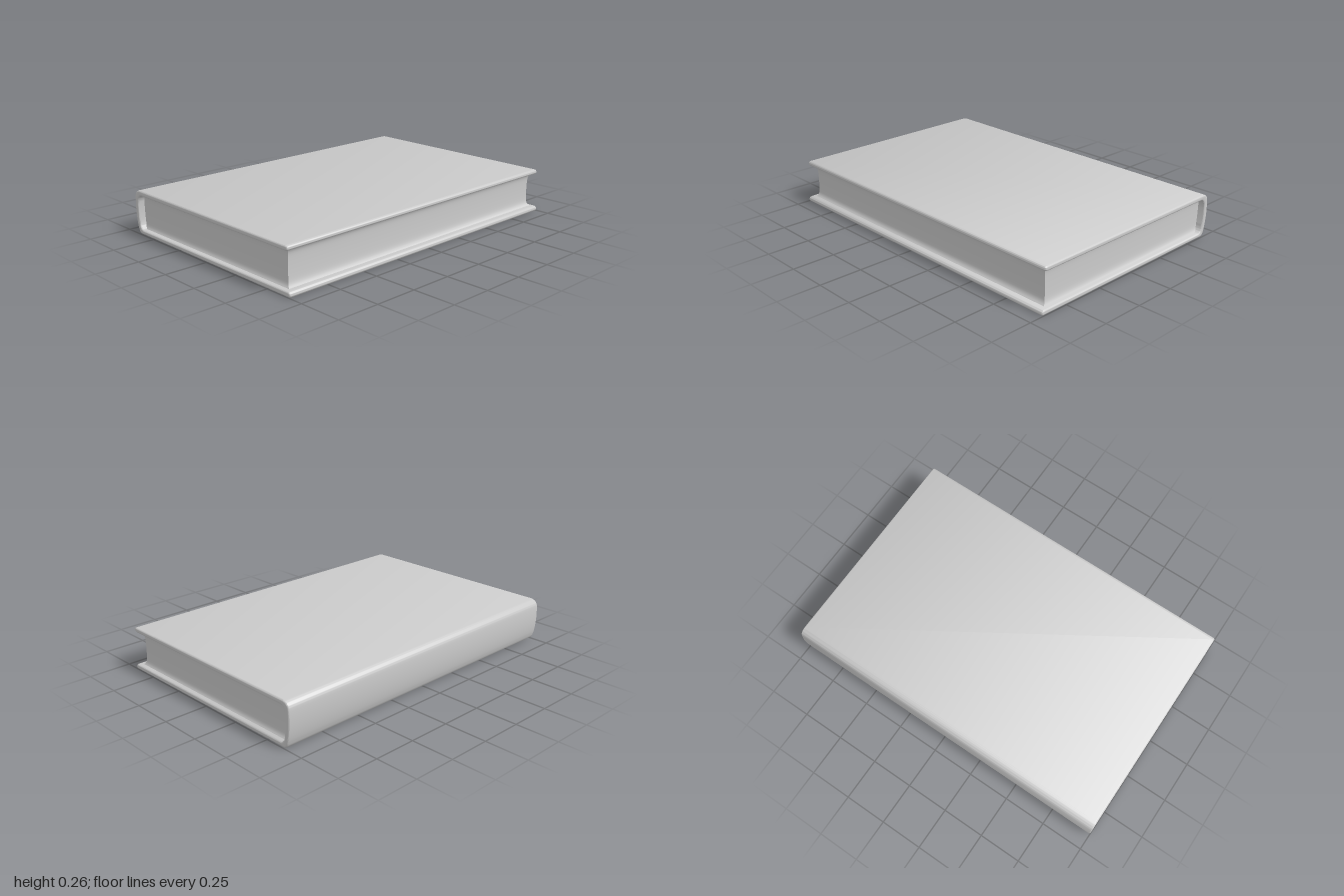
import * as THREE from 'three';
import { toCreasedNormals } from 'three/addons/utils/BufferGeometryUtils.js';

const material = new THREE.MeshStandardMaterial({ color: 0xcccccc });

// Wraparound cover: a C-shaped profile (shape x = -z) extruded along x
function makeCover() {
  const bevel = 0.01;
  const s = new THREE.Shape();
  s.moveTo(-0.658, 0);
  s.lineTo(0.625, 0.003);
  s.quadraticCurveTo(0.645, 0.006, 0.655, 0.04); // rounded spine
  s.bezierCurveTo(0.672, 0.1, 0.672, 0.18, 0.666, 0.225);
  s.quadraticCurveTo(0.66, 0.255, 0.62, 0.26);
  s.lineTo(-0.638, 0.258);
  s.quadraticCurveTo(-0.654, 0.258, -0.655, 0.243); // top board front edge
  s.quadraticCurveTo(-0.654, 0.23, -0.638, 0.229);
  s.lineTo(0.605, 0.229);
  s.quadraticCurveTo(0.63, 0.225, 0.635, 0.19); // inside of the spine
  s.quadraticCurveTo(0.638, 0.12, 0.628, 0.06);
  s.quadraticCurveTo(0.622, 0.032, 0.6, 0.03);
  s.lineTo(-0.645, 0.03);
  s.quadraticCurveTo(-0.669, 0.03, -0.67, 0.014); // bottom board front edge
  s.quadraticCurveTo(-0.67, 0, -0.658, 0);
  const length = 2 - 2 * bevel;
  const geo = new THREE.ExtrudeGeometry(s, {
    depth: length, curveSegments: 10,
    bevelEnabled: true, bevelSize: bevel, bevelOffset: -bevel,
    bevelThickness: bevel, bevelSegments: 4,
  });
  geo.translate(0, 0, -length / 2);
  geo.rotateY(Math.PI / 2);
  return toCreasedNormals(geo, 0.7);
}

// Page block: inset on three sides, flaring slightly where it meets the boards
function makePages() {
  const geo = new THREE.BoxGeometry(1.92, 0.21, 1.25, 1, 20, 1);
  const p = geo.attributes.position;
  for (let i = 0; i < p.count; i++) {
    const t = Math.abs(p.getY(i)) / 0.105;
    const flare = 0.004 * t * t + 0.02 * t ** 8;
    p.setX(i, p.getX(i) + Math.sign(p.getX(i)) * flare * 0.7);
    if (p.getZ(i) > 0) p.setZ(i, p.getZ(i) + flare);
  }
  geo.translate(0, 0.13, -0.013);
  return toCreasedNormals(geo, 0.7);
}

export function createModel() {
  const book = new THREE.Group();
  book.name = 'book';
  for (const [name, geo] of [['cover', makeCover()], ['pageBlock', makePages()]]) {
    const mesh = new THREE.Mesh(geo, material);
    mesh.name = name;
    book.add(mesh);
  }
  return book;
}
